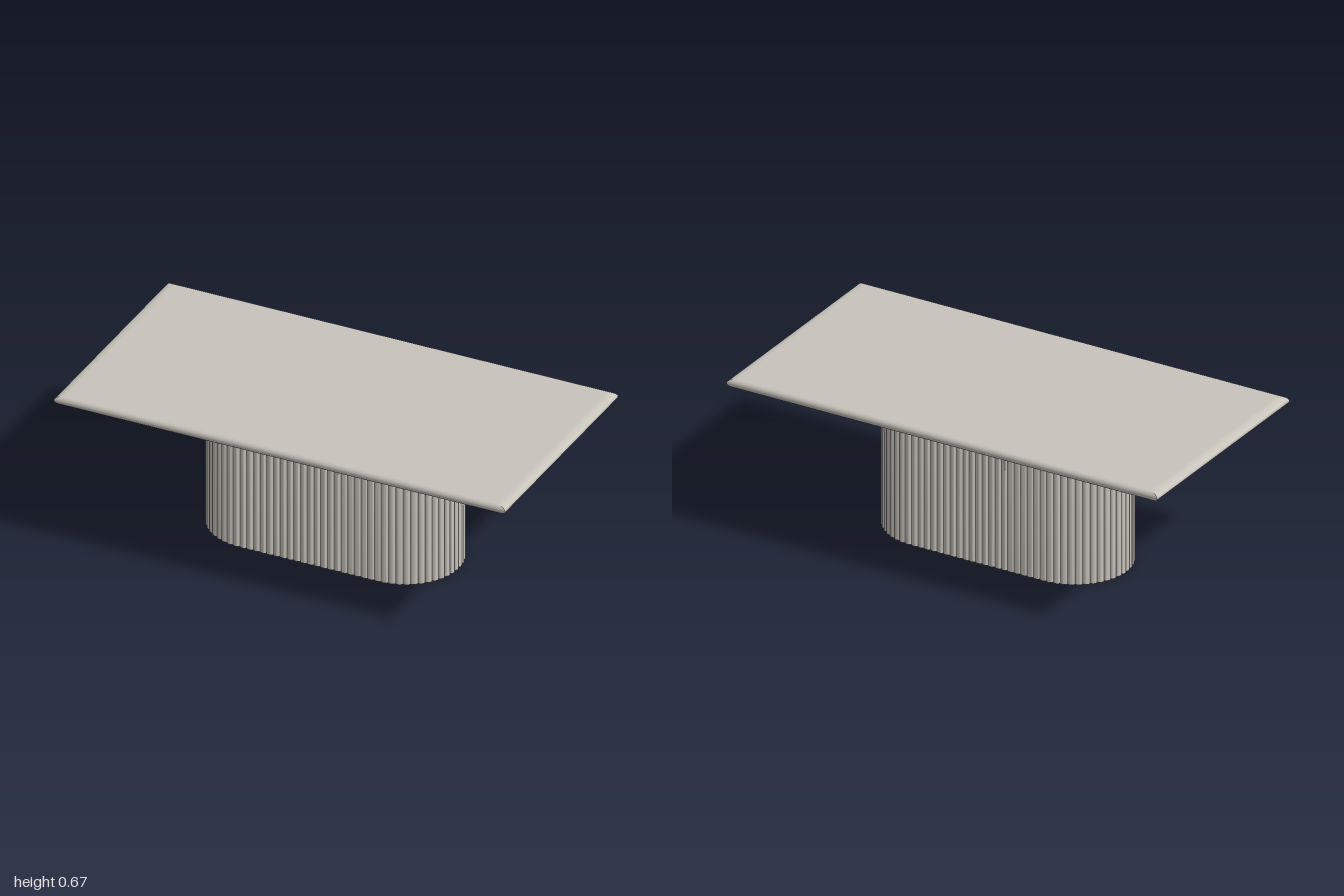
import * as THREE from 'three';
import { toCreasedNormals } from 'three/addons/utils/BufferGeometryUtils.js';

// Rectangular slab with rounded edges that meet in mitred corners
function slabGeometry(halfX, halfZ, y, halfH, roundX, roundZ, steps) {
  const corners = [[1, 1], [1, -1], [-1, -1], [-1, 1]];
  const pos = [], index = [];
  const add = ([sx, sz], t) => {
    const inset = 1 - Math.cos(t);
    pos.push(sx * (halfX - roundX * inset), y + halfH * Math.sin(t), sz * (halfZ - roundZ * inset));
  };
  // four rounded edges
  for (let k = 0; k < 4; k++) {
    const start = pos.length / 3;
    for (let i = 0; i <= steps; i++) {
      const t = Math.PI * (i / steps - 0.5);
      add(corners[k], t);
      add(corners[(k + 1) % 4], t);
    }
    for (let i = 0; i < steps; i++) {
      const a = start + i * 2;
      index.push(a, a + 1, a + 3, a, a + 3, a + 2);
    }
  }
  // flat top and underside
  for (const side of [1, -1]) {
    const s = pos.length / 3;
    corners.forEach((c) => add(c, side * Math.PI / 2));
    if (side > 0) index.push(s, s + 1, s + 2, s, s + 2, s + 3);
    else index.push(s, s + 2, s + 1, s, s + 3, s + 2);
  }
  const g = new THREE.BufferGeometry();
  g.setAttribute('position', new THREE.Float32BufferAttribute(pos, 3));
  g.setIndex(index);
  g.computeVertexNormals();
  return g;
}

// Column with a stadium plan, ringed by convex reeds
function reededGeometry(halfStraight, radius, depth, reeds, height) {
  const straight = 2 * halfStraight, arc = Math.PI * radius;
  const length = 2 * (straight + arc), pitch = length / reeds, steps = 6;
  const outline = (s, out) => {
    s = (s + length) % length;
    const flip = s >= straight + arc ? -1 : 1;
    if (flip < 0) s -= straight + arc;
    let x, y;
    if (s < straight) {
      x = s - halfStraight;
      y = -radius - out;
    } else {
      const a = (s - straight) / radius - Math.PI / 2;
      x = halfStraight + Math.cos(a) * (radius + out);
      y = Math.sin(a) * (radius + out);
    }
    return new THREE.Vector2(x * flip, y * flip);
  };
  const points = [];
  for (let r = 0; r < reeds; r++) {
    for (let i = 0; i < steps; i++) {
      const t = Math.PI * i / steps;
      points.push(outline((r + 0.5 - 0.5 * Math.cos(t)) * pitch, depth * Math.sin(t)));
    }
  }
  const g = new THREE.ExtrudeGeometry(new THREE.Shape(points), { depth: height, bevelEnabled: false });
  g.rotateX(-Math.PI / 2);
  return toCreasedNormals(g, 0.8);
}

export function createModel() {
  const model = new THREE.Group();
  model.name = 'table';
  const stone = new THREE.MeshStandardMaterial({ color: 0xc8c4bc });
  stone.name = 'warm grey';

  const top = new THREE.Mesh(slabGeometry(1, 0.51, 0.65, 0.02, 0.04, 0.02, 14), stone);
  top.name = 'tableTop';

  const base = new THREE.Mesh(reededGeometry(0.31, 0.23, 0.01, 90, 0.63), stone);
  base.name = 'reededBase';
  base.position.set(-0.01, 0, -0.015);

  model.add(top, base);
  return model;
}
